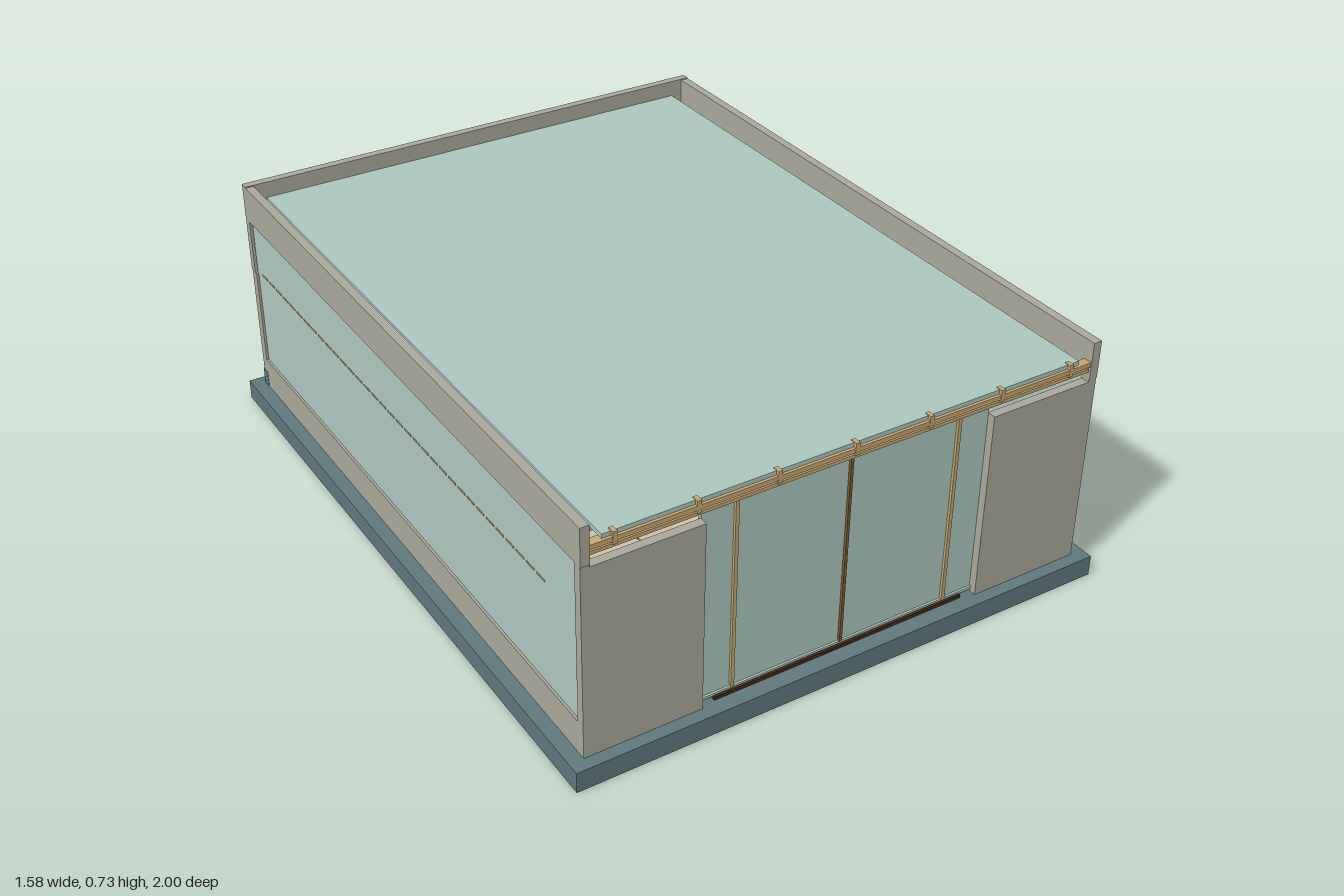
import * as THREE from 'three';

const mat = (name, color) => Object.assign(new THREE.MeshStandardMaterial({ color }), { name });

export function createModel() {
  const stone = mat('stone', 0xaba99c);
  const glass = mat('glass', 0xaec8bf);
  const slate = mat('slate', 0x60797e);
  const wood = mat('wood', 0xc8a873);
  const bronze = mat('bronze', 0x7a5c38);
  const brown = mat('brown', 0x432a1a);
  const green = mat('green', 0x559c80);
  const cream = mat('cream', 0xcdc5ac);

  const model = new THREE.Group();
  model.name = 'pavilion';

  function add(name, geometry, material, x = 0, y = 0, z = 0) {
    const mesh = new THREE.Mesh(geometry, material);
    mesh.name = name;
    mesh.position.set(x, y, z);
    model.add(mesh);
    return mesh;
  }
  // box given by its extents
  const box = (name, material, x0, x1, y0, y1, z0, z1) =>
    add(name, new THREE.BoxGeometry(x1 - x0, y1 - y0, z1 - z0), material,
      (x0 + x1) / 2, (y0 + y1) / 2, (z0 + z1) / 2);
  // the same box on both sides of x = 0
  function pair(name, material, x0, x1, y0, y1, z0, z1) {
    box(name + 'Left', material, x0, x1, y0, y1, z0, z1);
    box(name + 'Right', material, -x1, -x0, y0, y1, z0, z1);
  }

  // base and floor
  box('base', slate, -0.79, 0.79, 0, 0.06, -1, 1);
  box('floor', cream, -0.72, 0.72, 0.06, 0.064, -0.94, 0.94);
  for (const z of [-0.86, -0.65, -0.44, -0.22, 0, 0.2, 0.42, 0.64, 0.86])
    box('floorJoint', bronze, -0.72, 0.72, 0.064, 0.0655, z - 0.003, z + 0.003);
  for (let i = -3; i <= 3; i++)
    box('floorJointLong', bronze, i * 0.2 - 0.003, i * 0.2 + 0.003, 0.064, 0.065, -0.94, 0.94);

  // side walls: plinth, glazing, parapet and end posts
  pair('sidePlinth', stone, 0.725, 0.75, 0.06, 0.155, -0.94, 0.965);
  pair('sideGlass', glass, 0.73, 0.743, 0.155, 0.62, -0.94, 0.94);
  pair('sideParapet', stone, 0.725, 0.75, 0.617, 0.725, -0.965, 0.967);
  pair('frontPost', stone, 0.725, 0.75, 0.155, 0.617, 0.94, 0.965);

  // dashed line on the side glazing
  for (let i = 0; i < 34; i++) {
    const z = -0.9 + i * 0.05;
    pair('glassStripe', wood, 0.743, 0.7445, 0.458, 0.463, z, z + 0.038);
  }

  // roof
  box('roofGlass', glass, -0.69, 0.69, 0.668, 0.68, -0.95, 0.957);

  // front wall and sliding doors
  pair('frontPanel', stone, 0.42, 0.75, 0.06, 0.61, 0.94, 0.965);
  box('doorGlass', glass, -0.42, 0.42, 0.07, 0.64, 0.93, 0.942);
  box('threshold', brown, -0.38, 0.38, 0.06, 0.07, 0.925, 0.955);
  box('thresholdRail', glass, -0.42, 0.42, 0.068, 0.076, 0.925, 0.948);
  pair('doorPull', wood, 0.32, 0.33, 0.075, 0.63, 0.942, 0.95);
  box('doorMeeting', bronze, -0.004, 0.004, 0.075, 0.63, 0.942, 0.95);
  box('doorRail', wood, -0.725, 0.725, 0.637, 0.647, 0.935, 0.96);
  box('roofRail', wood, -0.725, 0.725, 0.655, 0.668, 0.94, 0.965);
  for (let i = -3; i <= 3; i++)
    box('railBracket', wood, i * 0.22 - 0.006, i * 0.22 + 0.006, 0.647, 0.682, 0.945, 0.966);

  // back wall: header, sill, posts and panels
  box('backHeader', stone, -0.75, 0.75, 0.45, 0.728, -0.97, -0.945);
  box('backSill', slate, -0.75, 0.75, 0.06, 0.078, -0.968, -0.94);
  pair('cornerFoot', slate, 0.725, 0.751, 0.06, 0.11, -0.969, -0.938);
  for (const x of [0.735, 0.59, 0.31, 0.13])
    pair('backPost', stone, x - 0.015, x + 0.015, 0.065, 0.45, -0.965, -0.935);
  pair('backPanel', slate, 0.325, 0.575, 0.09, 0.45, -0.955, -0.943);
  box('backDoor', green, -0.115, 0.115, 0.09, 0.45, -0.955, -0.943);

  // hanging ceiling panel inside the back
  box('ceilingPanel', brown, -0.712, 0.712, 0.56, 0.58, -0.83, -0.59);
  for (const z of [-0.88, -0.22, 0.2, 0.64, 0.86])
    box('ceilingBeam', stone, -0.725, 0.725, 0.622, 0.636, z - 0.006, z + 0.006);

  // disc lamps along both sides
  const disc = new THREE.CylinderGeometry(0.035, 0.035, 0.008, 24);
  const stem = new THREE.CylinderGeometry(0.005, 0.005, 0.05, 8);
  for (const side of [-1, 1])
    for (const z of [-0.28, 0.15, 0.58]) {
      add('lampDisc', disc, wood, side * 0.67, 0.615, z);
      add('lampStem', stem, bronze, side * 0.67, 0.643, z);
    }

  // planter
  box('planter', slate, 0.42, 0.52, 0.064, 0.15, -0.65, -0.55);
  box('planterTop', cream, 0.425, 0.515, 0.15, 0.165, -0.645, -0.555);
  for (const [x, z] of [[0.45, -0.62], [0.49, -0.6], [0.46, -0.57]])
    add('plant', new THREE.ConeGeometry(0.022, 0.09, 7), green, x, 0.21, z);

  return model;
}
